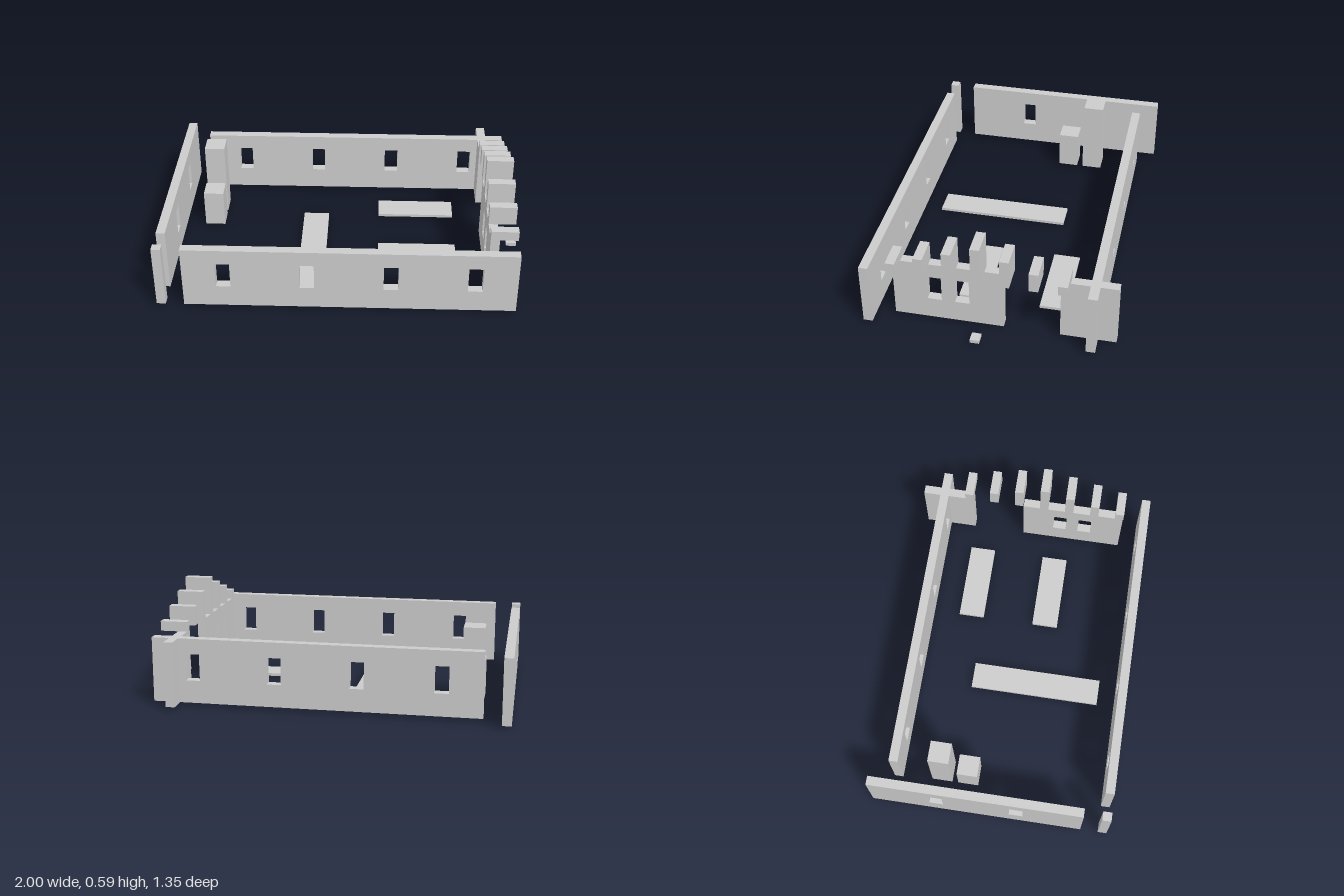
import * as THREE from 'three';

const BASE = 0.016, TOP = 0.375;
const material = new THREE.MeshStandardMaterial({ color: 0xcccccc, flatShading: true });

export function createModel() {
  const group = new THREE.Group();

  const add = (name, geometry) => {
    const mesh = new THREE.Mesh(geometry, material);
    mesh.name = name;
    group.add(mesh);
    return mesh;
  };

  // Box given by its minimum and maximum on each axis
  const block = (name, [x0, x1], [y0, y1], [z0, z1]) =>
    add(name, new THREE.BoxGeometry(x1 - x0, y1 - y0, z1 - z0))
      .position.set((x0 + x1) / 2, (y0 + y1) / 2, (z0 + z1) / 2);

  // Upright wall running from a to b, with window openings centred at the given places
  const wallGeometry = (a, b, windows, depth) => {
    const shape = new THREE.Shape();
    shape.moveTo(a, BASE).lineTo(b, BASE).lineTo(b, TOP).lineTo(a, TOP).closePath();
    for (const c of windows) {
      const hole = new THREE.Path();
      hole.moveTo(c - 0.039, 0.142).lineTo(c - 0.039, 0.289)
        .lineTo(c + 0.039, 0.289).lineTo(c + 0.039, 0.142).closePath();
      shape.holes.push(hole);
    }
    return new THREE.ExtrudeGeometry(shape, { depth, bevelEnabled: false });
  };
  const wallAlongX = (name, a, b, z, windows) =>
    add(name, wallGeometry(a, b, windows, 0.05).translate(0, 0, z));
  const wallAlongZ = (name, a, b, x, windows) =>
    add(name, wallGeometry(a, b, windows, 0.05).rotateY(-Math.PI / 2).translate(x + 0.05, 0, 0));

  // Outer walls
  const longWindows = [-0.63, -0.181, 0.268, 0.717];
  wallAlongX('frontWall', -0.85, 0.943, 0.622, longWindows);
  wallAlongX('backWall', -0.85, 0.943, -0.577, longWindows);
  wallAlongZ('rightWall', -0.675, 0.522, -1, [-0.3, 0.15]);
  wallAlongZ('leftWall', -0.073, 0.522, 0.794, [0.15, 0.3]);
  wallAlongZ('leftCornerWall', -0.675, -0.375, 0.794, []);
  block('cornerPost', [-1, -0.95], [BASE, TOP], [0.622, 0.672]);

  // Stepped row of blocks over the entrance wall, rising to the middle
  for (let i = -3; i <= 3; i++) {
    const z = 0.05 + i * 0.15;
    block('gableBlock', [0.794, 0.943], [TOP, 0.593 - Math.abs(i) * 0.0545], [z - 0.025, z + 0.025]);
  }

  // Doorstep
  block('doorstep', [0.943, 1], [BASE, 0.036], [0.025, 0.075]);

  // Cabinets against the right wall
  block('tallCabinet', [-0.837, -0.722], [BASE, 0.449], [-0.358, -0.242]);
  block('lowCabinet', [-0.837, -0.722], [BASE, 0.231], [-0.208, -0.092]);

  // Floor slabs
  block('longFloorSlab', [-0.253, -0.104], [0, BASE], [-0.227, 0.522]);
  block('floorSlab', [0.196, 0.644], [0, BASE], [-0.376, -0.228]);
  block('floorSlab', [0.196, 0.644], [0, BASE], [0.072, 0.222]);

  return group;
}
